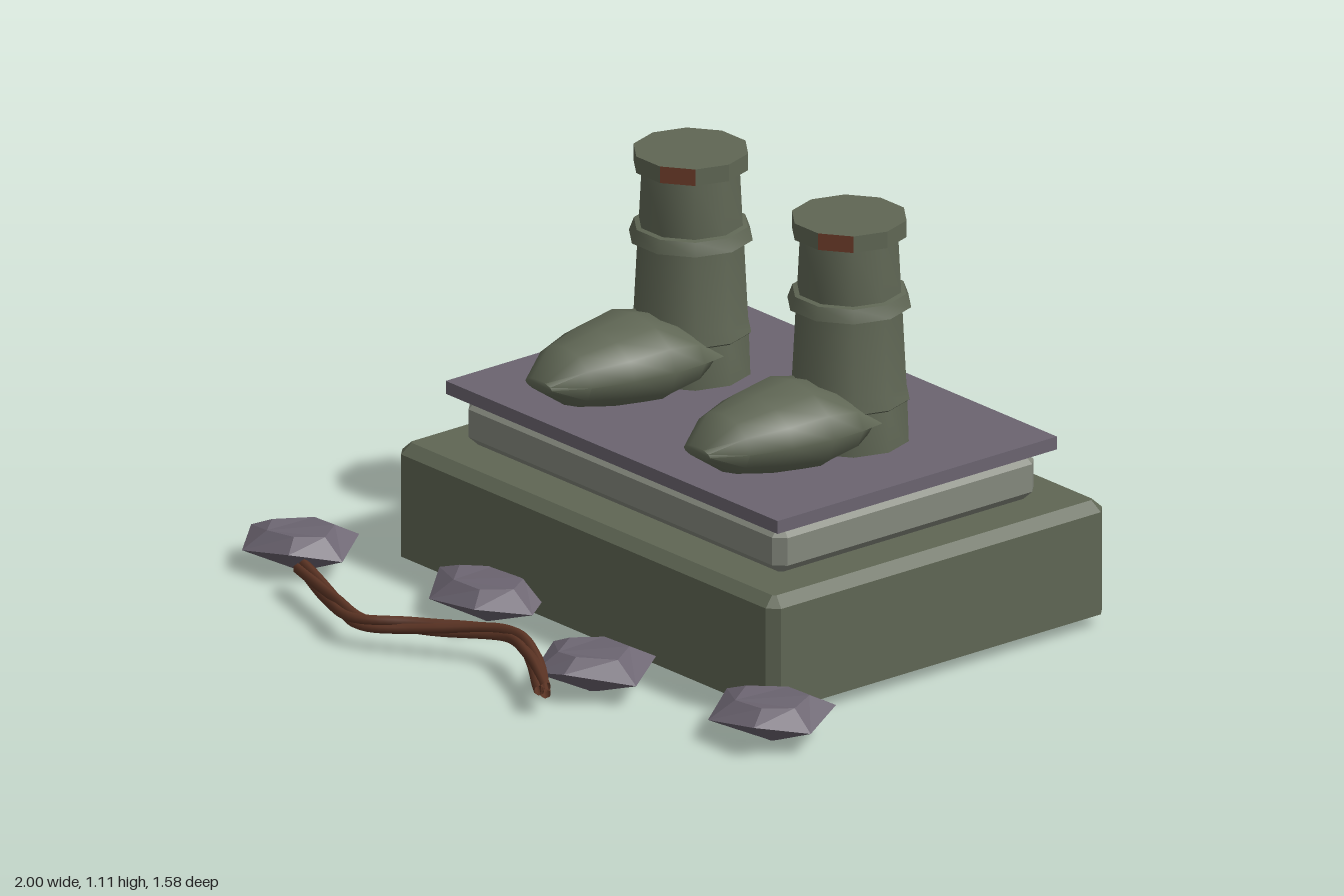
import * as THREE from 'three';
import { toCreasedNormals } from 'three/addons/utils/BufferGeometryUtils.js';

const makeMaterial = (name, color, side = THREE.FrontSide) => {
  const m = new THREE.MeshStandardMaterial({ color, side });
  m.name = name;
  return m;
};

// Skin a stack of equal-length rings; rings run counterclockwise seen from the end side
function loft(rings, capStart = true, capEnd = true) {
  const pos = [];
  const tri = (a, b, c) => pos.push(...a, ...b, ...c);
  const n = rings[0].length;
  for (let k = 0; k < rings.length - 1; k++) {
    for (let i = 0; i < n; i++) {
      const j = (i + 1) % n, lo = rings[k], hi = rings[k + 1];
      tri(lo[i], lo[j], hi[j]);
      tri(lo[i], hi[j], hi[i]);
    }
  }
  const first = rings[0], last = rings[rings.length - 1];
  for (let i = 1; i < n - 1; i++) {
    if (capStart) tri(first[0], first[i + 1], first[i]);
    if (capEnd) tri(last[0], last[i], last[i + 1]);
  }
  const g = new THREE.BufferGeometry();
  g.setAttribute('position', new THREE.Float32BufferAttribute(pos, 3));
  g.computeVertexNormals();
  return g;
}

// Rectangle ring with cut corners
function cutRect(hx, hz, c, y) {
  return [[hx - c, hz], [hx, hz - c], [hx, -hz + c], [hx - c, -hz],
    [-hx + c, -hz], [-hx, -hz + c], [-hx, hz - c], [-hx + c, hz]].map(([x, z]) => [x, y, z]);
}

export function createModel() {
  const model = new THREE.Group();
  const green = makeMaterial('weathered green', 0x5f6654);
  const shell = makeMaterial('weathered green shell', 0x5f6654, THREE.DoubleSide);
  const stone = makeMaterial('pale stone', 0x84887d);
  const slate = makeMaterial('purple slate', 0x6b6470);
  const rust = makeMaterial('rust', 0x6e3c2a);
  const bark = makeMaterial('brown root', 0x5c3424, THREE.DoubleSide);

  const add = (parent, name, geometry, material, x = 0, y = 0, z = 0) => {
    const mesh = new THREE.Mesh(geometry, material);
    mesh.name = name;
    mesh.position.set(x, y, z);
    parent.add(mesh);
    return mesh;
  };

  // Plinth: hollow base open underneath, bevelled step, thin slab
  const b = 0.028;
  add(model, 'plinthBase', loft([
    cutRect(0.745, 0.56, b, 0.04), cutRect(0.745, 0.56, b, 0.318),
    cutRect(0.745 - b, 0.56 - b, 0.008, 0.345),
  ], false, true), shell, 0.035, 0, -0.23);
  add(model, 'plinthStep', loft([
    cutRect(0.625 - b, 0.435 - b, 0.008, 0.343), cutRect(0.625, 0.435, b, 0.37),
    cutRect(0.625, 0.435, b, 0.445), cutRect(0.625 - b, 0.435 - b, 0.008, 0.472),
  ]), stone, 0.035, 0, -0.228);
  add(model, 'slab', new THREE.BoxGeometry(1.305, 0.035, 0.93), slate, 0.0375, 0.4975, -0.227);

  // Boot shaft with two flared bands
  const shaftProfile = [
    [0, 0.478], [0.157, 0.478], [0.152, 0.625], [0.158, 0.63], [0.15, 0.665], [0.139, 0.876],
    [0.162, 0.88], [0.149, 0.915], [0.136, 0.918], [0.128, 1.075],
  ].map(([r, y]) => new THREE.Vector2(r, y));
  const shaftGeo = toCreasedNormals(
    new THREE.LatheGeometry(shaftProfile, 10, Math.PI / 10).toNonIndexed(), 0.7);

  // Rim cap: two of its ten side faces are rusted
  const indexedRim = new THREE.CylinderGeometry(0.15, 0.15, 0.045, 10, 1, false, Math.PI / 10);
  indexedRim.clearGroups();
  [[0, 6, 1], [6, 12, 0], [18, 6, 1], [24, 96, 0]].forEach((g) => indexedRim.addGroup(...g));
  const rimGeo = indexedRim.toNonIndexed();
  rimGeo.computeVertexNormals();

  // Rounded foot: [z, half width, bottom, middle, top]
  const footGeo = toCreasedNormals(loft([
    [-0.275, 0.15, 0.585, 0.597, 0.61], [-0.2, 0.166, 0.505, 0.6, 0.69],
    [-0.1, 0.169, 0.476, 0.6, 0.716], [0.02, 0.15, 0.5, 0.6, 0.7],
    [0.13, 0.108, 0.522, 0.597, 0.68], [0.215, 0.052, 0.58, 0.595, 0.61],
  ].map(([z, w, bottom, mid, top]) => Array.from({ length: 12 }, (_, i) => {
    const a = i * Math.PI / 6, s = Math.sin(a);
    return [w * Math.cos(a), mid + s * (s > 0 ? top - mid : mid - bottom), z];
  }))), 1.0);

  for (const [name, x] of [['rightBoot', -0.277], ['leftBoot', 0.346]]) {
    const boot = new THREE.Group();
    boot.name = name;
    boot.position.x = x;
    add(boot, 'shaft', shaftGeo, green, 0, 0, -0.292);
    add(boot, 'rim', rimGeo, [green, rust], 0, 1.0925, -0.292);
    add(boot, 'foot', footGeo, green);
    model.add(boot);
  }

  // Loose rocks: faceted, flat on top and pointed below
  const outlines = [
    [[-0.93, 0.65], [-0.77, 0.63], [-0.7, 0.51], [-0.77, 0.395], [-0.92, 0.385], [-1, 0.56]],
    [[-0.36, 0.51], [-0.17, 0.52], [-0.1, 0.385], [-0.16, 0.27], [-0.37, 0.27], [-0.46, 0.39]],
    [[0.21, 0.645], [0.33, 0.645], [0.455, 0.51], [0.38, 0.38], [0.2, 0.37], [0.13, 0.51]],
    [[0.755, 0.525], [0.93, 0.52], [1, 0.39], [0.94, 0.255], [0.78, 0.24], [0.67, 0.39]],
  ];
  for (const outline of outlines) {
    const cx = outline.reduce((t, p) => t + p[0], 0) / 6;
    const cz = outline.reduce((t, p) => t + p[1], 0) / 6;
    const ring = (s, y, wave) => outline.map(([x, z], i) =>
      [(x - cx) * s, y + (i % 2 ? wave : -wave), (z - cz) * s]);
    add(model, 'rock', loft([ring(0.1, 0.006, 0), ring(1, 0.078, 0.014), ring(0.58, 0.118, 0.003)]),
      slate, cx, 0, cz);
  }

  // Root: three strands twisted around a winding path
  const path = [
    [-0.7, 0.082, 0.645], [-0.48, 0.078, 0.725], [-0.335, 0.076, 0.765], [-0.185, 0.08, 0.68],
    [0.035, 0.1, 0.575], [0.18, 0.092, 0.625], [0.345, 0.074, 0.725],
  ].map((p) => new THREE.Vector3(...p));
  const curve = new THREE.CatmullRomCurve3(path);
  const root = new THREE.Group();
  root.name = 'root';
  for (let s = 0; s < 3; s++) {
    const points = Array.from({ length: 29 }, (_, i) => {
      const p = curve.getPoint(i / 28), t = curve.getTangent(i / 28);
      const side = new THREE.Vector3(-t.z, 0, t.x).normalize();
      const a = s * Math.PI * 2 / 3 + i * 0.3;
      p.addScaledVector(side, 0.011 * Math.cos(a));
      p.y += 0.011 * Math.sin(a);
      return p;
    });
    add(root, 'strand', new THREE.TubeGeometry(new THREE.CatmullRomCurve3(points), 56, 0.014, 6), bark);
  }
  model.add(root);

  return model;
}
